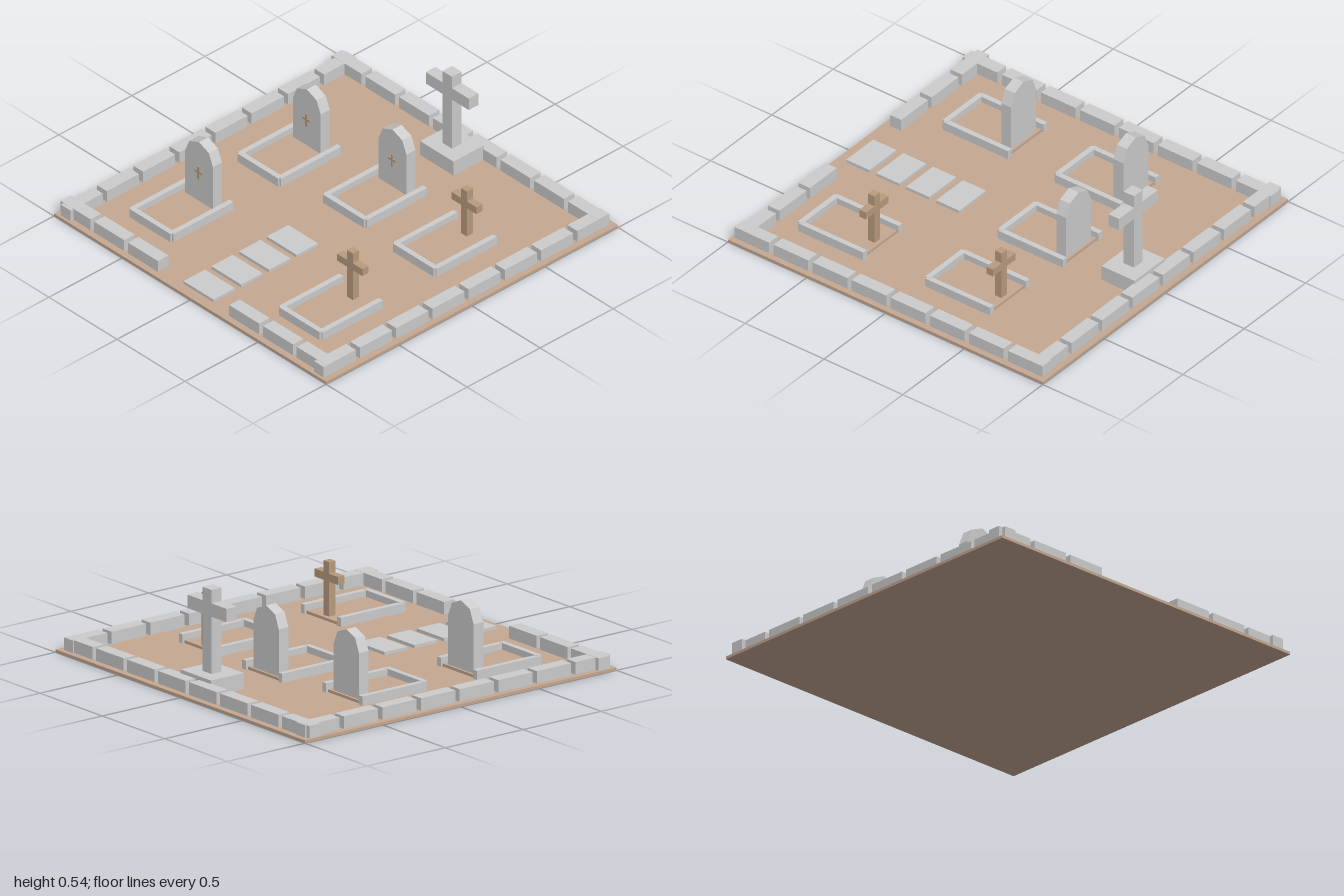
import * as THREE from 'three';

const material = (color) => new THREE.MeshStandardMaterial({ color, flatShading: true });

export function createModel() {
  const stone = material(0xcccccc);
  const earth = material(0xc4a791);
  const wood = material(0xb89c7e);
  const root = new THREE.Group();
  const GROUND = 0.015;

  // Box given by centre x/z, bottom and top heights
  function box(parent, name, mat, x, z, w, d, y0, y1) {
    const mesh = new THREE.Mesh(new THREE.BoxGeometry(w, y1 - y0, d), mat);
    mesh.position.set(x, (y0 + y1) / 2, z);
    mesh.name = name;
    parent.add(mesh);
    return mesh;
  }

  function group(name, x, z) {
    const g = new THREE.Group();
    g.name = name;
    g.position.set(x, 0, z);
    root.add(g);
    return g;
  }

  // Solid one-piece cross outline, extruded through its depth
  function cross(parent, name, mat, z, size) {
    const { post, span, depth, bottom, top, arm0, arm1 } = size;
    const p = post / 2, s = span / 2;
    const pts = [[-p, bottom], [p, bottom], [p, arm0], [s, arm0], [s, arm1], [p, arm1],
      [p, top], [-p, top], [-p, arm1], [-s, arm1], [-s, arm0], [-p, arm0]];
    const shape = new THREE.Shape(pts.map(([x, y]) => new THREE.Vector2(x, y)));
    const geo = new THREE.ExtrudeGeometry(shape, { depth, bevelEnabled: false });
    geo.translate(0, 0, z - depth / 2);
    const mesh = new THREE.Mesh(geo, mat);
    mesh.name = name;
    parent.add(mesh);
  }

  // Headstone with a four-facet arched top
  function headstone(parent, z, top) {
    const r = 0.102, shape = new THREE.Shape();
    shape.moveTo(-r, 0.01);
    shape.lineTo(r, 0.01);
    for (let i = 0; i <= 4; i++) {
      const a = (i * Math.PI) / 4;
      shape.lineTo(r * Math.cos(a), top - r + r * Math.sin(a));
    }
    const depth = 0.062;
    const geo = new THREE.ExtrudeGeometry(shape, { depth, bevelEnabled: false });
    geo.translate(0, 0, z - depth / 2);
    const mesh = new THREE.Mesh(geo, stone);
    mesh.name = 'headstone';
    parent.add(mesh);
    cross(parent, 'headstoneCross', wood, z + depth / 2 + 0.001, {
      post: 0.013, span: 0.055, depth: 0.01,
      bottom: top - 0.225, top: top - 0.15, arm0: top - 0.188, arm1: top - 0.175,
    });
  }

  // Ground slab
  box(root, 'ground', earth, 0, 0, 2, 2, 0, GROUND);

  // Perimeter wall of loose blocks, with an entrance gap at the front
  const wall = group('perimeterWall', 0, 0);
  for (let i = 0; i < 8; i++) {
    const step = i * 0.248;
    box(wall, 'backWallBlock', stone, -0.88 + step, -0.928, 0.22, 0.072, 0.012, 0.081);
    if (i < 3 || i > 4) {
      box(wall, 'frontWallBlock', stone, -0.88 + step, 0.928, 0.22, 0.072, 0.012, 0.081);
    }
    for (const side of [-1, 1]) {
      box(wall, 'sideWallBlock', stone, side * 0.93, -0.862 + step, 0.072, 0.22, 0.012, 0.08);
    }
  }

  // Stepping slabs leading in from the entrance
  for (let i = 0; i < 4; i++) {
    box(root, 'pathSlab', stone, 0, 0.298 + i * 0.19, 0.22, 0.147, 0.01, 0.032);
  }

  // Large stone cross on a plinth
  const monument = group('monument', 0, -0.795);
  box(monument, 'plinth', stone, 0, 0, 0.245, 0.21, 0.01, 0.1);
  cross(monument, 'largeCross', stone, 0, {
    post: 0.07, span: 0.316, depth: 0.066, bottom: 0.09, top: 0.54, arm0: 0.4, arm1: 0.47,
  });

  // Graves: centre x, centre z, marker type, marker top
  const graves = [
    [-0.555, -0.192, 'stone', 0.373],
    [0, -0.262, 'stone', 0.379],
    [-0.57, 0.532, 'stone', 0.39],
    [0.55, -0.228, 'cross', 0.305],
    [0.565, 0.567, 'cross', 0.315],
  ];
  for (const [x, z, type, top] of graves) {
    const g = group('grave', x, z);
    box(g, 'graveSoil', earth, 0, -0.008, 0.266, 0.384, 0.01, 0.03);
    for (const side of [-1, 1]) {
      box(g, 'sideKerb', stone, side * 0.145, -0.006, 0.03, 0.412, 0.012, 0.063);
    }
    box(g, 'frontKerb', stone, 0, 0.196, 0.3, 0.03, 0.012, 0.065);
    if (type === 'stone') {
      headstone(g, -0.156, top);
    } else {
      cross(g, 'woodenCross', wood, -0.156, {
        post: 0.044, span: 0.185, depth: 0.042, bottom: 0.01, top, arm0: top - 0.102, arm1: top - 0.06,
      });
    }
  }

  return root;
}
